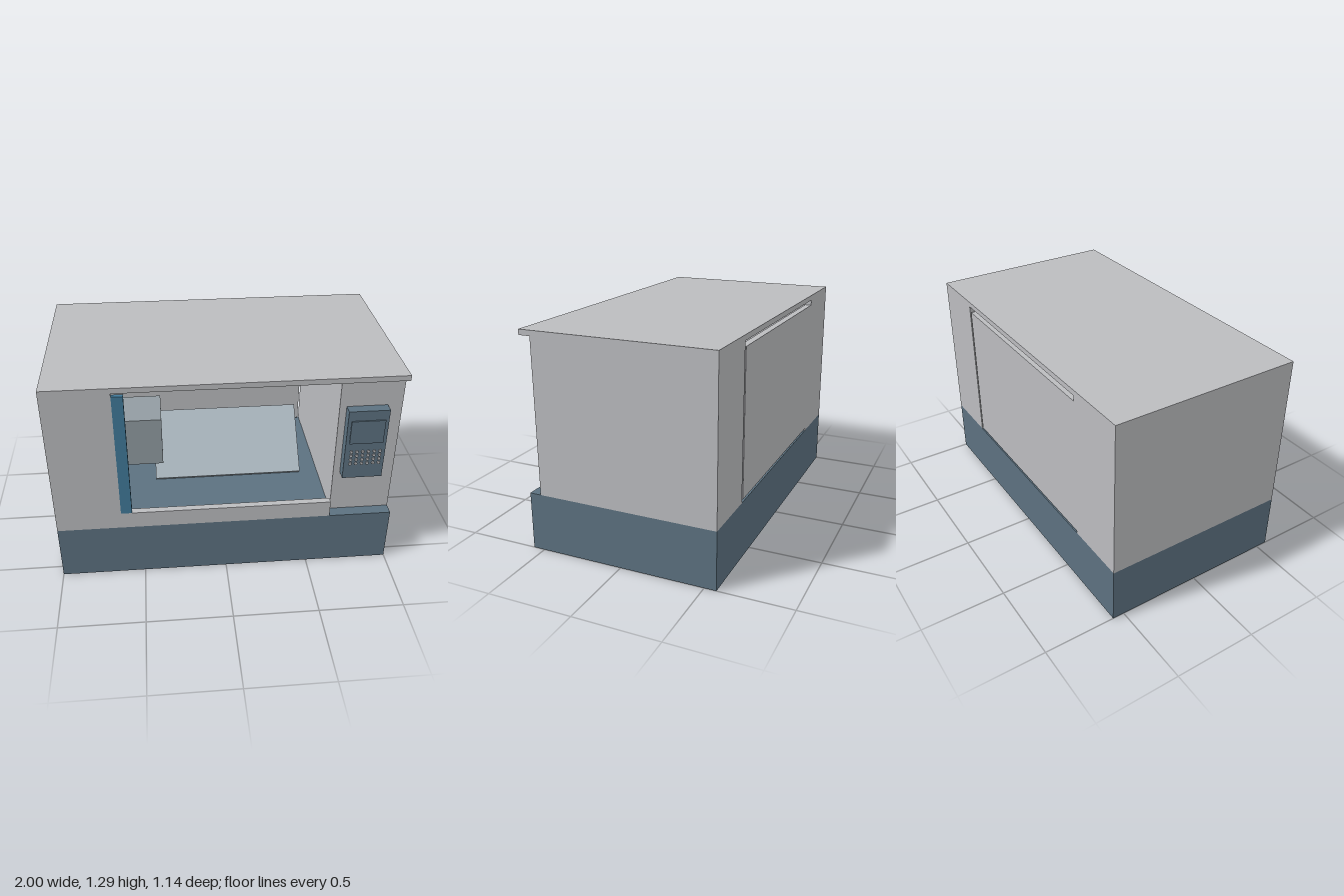
import * as THREE from 'three';

const mat = (name, color) => {
  const m = new THREE.MeshStandardMaterial({ color });
  m.name = name;
  return m;
};

export function createModel() {
  const group = new THREE.Group();
  group.name = 'machiningCentre';

  const shell = mat('shellGrey', 0xbbbcbf);
  const slate = mat('slateBlue', 0x5c7180);
  const blue = mat('doorBlue', 0x417a99);
  const steel = mat('spindleSteel', 0x929ca2);
  const bed = mat('paleSteel', 0xaab6be);

  // Box given by its extents along each axis
  const box = (name, material, [x0, x1], [y0, y1], [z0, z1], parent = group) => {
    const mesh = new THREE.Mesh(new THREE.BoxGeometry(x1 - x0, y1 - y0, z1 - z0), material);
    mesh.position.set((x0 + x1) / 2, (y0 + y1) / 2, (z0 + z1) / 2);
    mesh.name = name;
    parent.add(mesh);
    return mesh;
  };

  const D = 0.57;        // half depth
  const floor = 0.345;   // top of the base
  const ceiling = 1.258; // underside of the roof

  // Enclosure
  box('base', slate, [-1, 1], [0, floor], [-D, D]);
  box('roof', shell, [-1, 1], [ceiling, 1.29], [-D, D]);
  box('headstockCabinet', shell, [-1, -0.62], [floor, ceiling], [-D, D]);
  box('controlCabinet', shell, [0.64, 1], [floor, ceiling], [-D, 0.5]);
  box('backPanel', shell, [-0.62, 0.625], [0.36, 1.225], [-D, -0.53]);
  box('frontSill', shell, [-0.62, 0.625], [floor, 0.45], [0.53, D]);

  // Open sliding door, only its edge showing
  box('slidingDoor', blue, [-0.62, -0.555], [0.45, 1.238], [0.545, D]);

  // Working area: spindle head and slanted bed
  box('spindleHead', steel, [-0.62, -0.36], [0.52, 0.84], [-0.11, 0.18]);
  const slant = box('slantBed', bed, [-0.41, 0.52], [0, 0.04], [0, 0.447]);
  slant.position.set(0.055, 0.518, -0.032);
  slant.rotation.x = Math.PI / 4;

  // Control unit with screen and keypad
  const control = new THREE.Group();
  control.name = 'controlUnit';
  group.add(control);
  box('controlHousing', slate, [0.68, 0.915], [0.617, 1.07], [0.5, 0.56], control);
  box('screen', slate, [0.7, 0.895], [0.858, 1.008], [0.56, 0.567], control);

  const keyGeometry = new THREE.CylinderGeometry(0.009, 0.009, 0.008, 12).rotateX(Math.PI / 2);
  for (let row = 0; row < 4; row++) {
    for (let col = 0; col < 6; col++) {
      const key = new THREE.Mesh(keyGeometry, shell);
      key.name = 'key';
      key.position.set(0.717 + col * 0.0335, 0.8 - row * 0.027, 0.563);
      control.add(key);
    }
  }

  return group;
}
